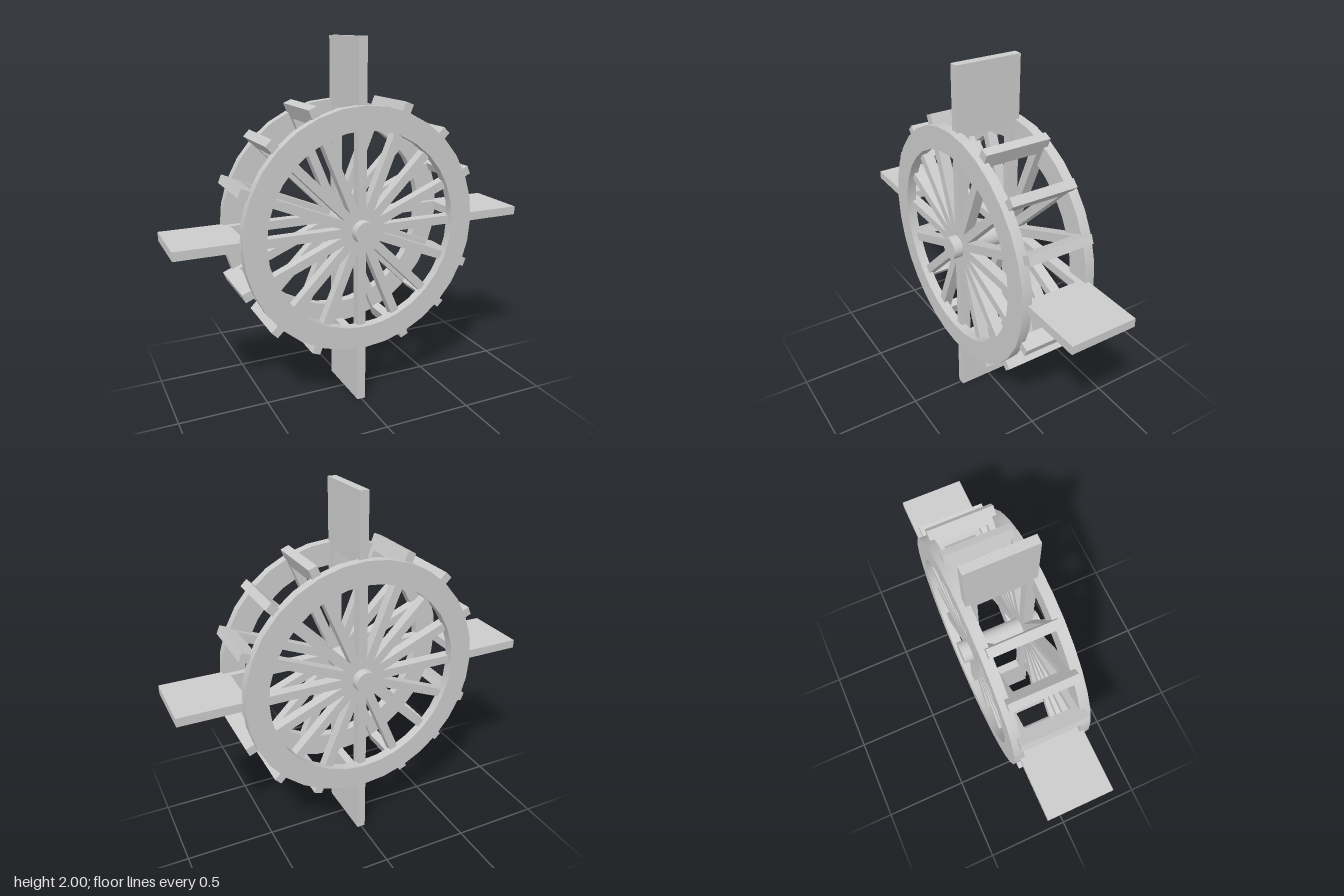
import * as THREE from 'three';
import { toCreasedNormals } from 'three/addons/utils/BufferGeometryUtils.js';

const material = new THREE.MeshStandardMaterial({ color: 0xcccccc });
const COUNT = 16;        // spokes around the wheel
const THICK = 0.048;     // plank thickness
const HALF_WIDTH = 0.183;

function add(parent, name, geometry, x = 0, y = 0, z = 0) {
  const mesh = new THREE.Mesh(geometry, material);
  mesh.name = name;
  mesh.position.set(x, y, z);
  parent.add(mesh);
  return mesh;
}

// Flat ring with a round hole, extruded along z
function rimGeometry(outer, inner, depth) {
  const shape = new THREE.Shape().absarc(0, 0, outer, 0, Math.PI * 2, false);
  shape.holes.push(new THREE.Path().absarc(0, 0, inner, 0, Math.PI * 2, true));
  const geometry = new THREE.ExtrudeGeometry(shape, { depth, bevelEnabled: false, curveSegments: 16 });
  geometry.translate(0, 0, -depth / 2);
  return toCreasedNormals(geometry, 0.6);
}

export function createModel() {
  const model = new THREE.Group();
  model.name = 'waterWheel';
  const wheel = new THREE.Group();
  wheel.name = 'wheel';
  wheel.position.y = 1;
  model.add(wheel);

  // Axle through both sides
  const axle = new THREE.CylinderGeometry(0.062, 0.062, 0.472, 32);
  axle.rotateX(Math.PI / 2);
  add(wheel, 'axle', axle);

  // Two rims
  const rim = rimGeometry(0.665, 0.54, 0.055);
  for (const side of [1, -1]) add(wheel, side > 0 ? 'frontRim' : 'backRim', rim, 0, 0, side * 0.187);

  // Spoke pairs, each joined by a short slat or a long paddle
  const inner = 0.63;
  for (let i = 0; i < COUNT; i++) {
    const arm = new THREE.Group();
    arm.name = 'arm';
    arm.rotation.z = (i / COUNT) * Math.PI * 2;
    wheel.add(arm);
    const isPaddle = i % 4 === 0;
    const tip = isPaddle ? 1 : 0.715;
    for (const side of [1, -1]) {
      add(arm, 'spoke', new THREE.BoxGeometry(inner, THICK, 0.058), inner / 2, 0, side * (HALF_WIDTH - 0.029));
    }
    add(arm, isPaddle ? 'paddle' : 'slat',
      new THREE.BoxGeometry(tip - inner, THICK, HALF_WIDTH * 2), (tip + inner) / 2, 0, 0);
  }
  return model;
}
